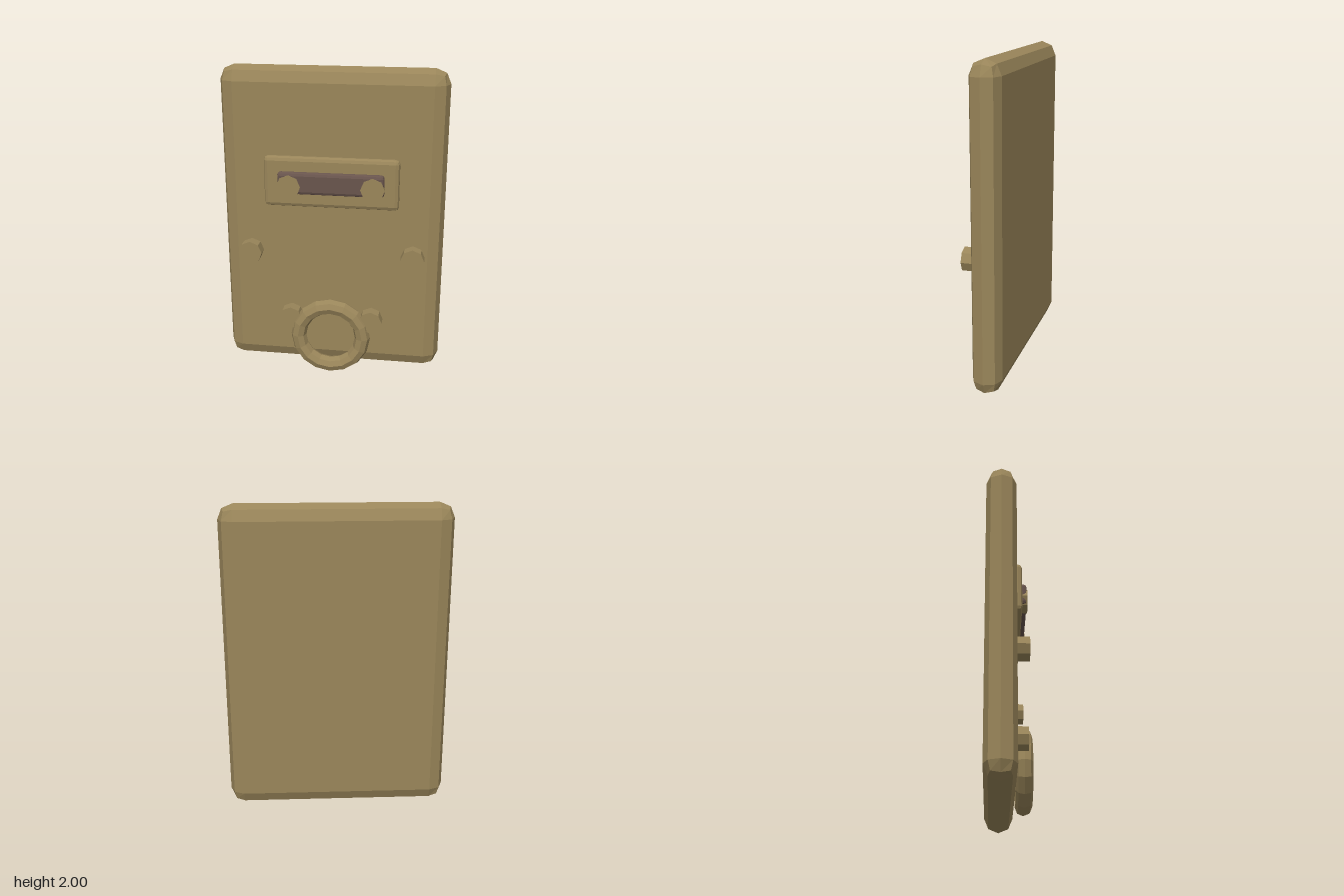
import * as THREE from 'three';
import { RoundedBoxGeometry } from 'three/addons/geometries/RoundedBoxGeometry.js';

export function createModel() {
  const group = new THREE.Group();
  const brass = new THREE.MeshStandardMaterial({ color: 0x9a865a, flatShading: true });
  const dark = new THREE.MeshStandardMaterial({ color: 0x69554d, flatShading: true });

  const add = (name, geometry, material, x, y, z) => {
    const mesh = new THREE.Mesh(geometry, material);
    mesh.name = name;
    mesh.position.set(x, y, z);
    group.add(mesh);
    return mesh;
  };

  // Main slab with a two-facet bevel on every edge
  add('plate', new RoundedBoxGeometry(1.4, 1.965, 0.185, 1, 0.0925), brass, 0, 1.0175, -0.05);

  // Raised surround and the dark bar set on it
  add('slotFrame', new RoundedBoxGeometry(0.84, 0.32, 0.08, 1, 0.025), brass, 0, 1.3, 0.04);
  add('slotBar', new RoundedBoxGeometry(0.66, 0.14, 0.075, 1, 0.02), dark, 0, 1.3, 0.0735);

  // Three mirrored pairs of eight-sided studs
  const stud = new THREE.CylinderGeometry(0.075, 0.075, 0.1, 8).rotateX(Math.PI / 2);
  const pairs = [['upperStud', 0.26, 1.28], ['middleStud', 0.515, 0.83], ['lowerStud', 0.26, 0.385]];
  for (const [name, x, y] of pairs) {
    add(name + 'Left', stud, brass, x, y, 0.065);
    add(name + 'Right', stud, brass, -x, y, 0.065);
  }

  // Pull ring overlapping the lower edge
  add('ring', new THREE.TorusGeometry(0.21, 0.05, 8, 16), brass, 0, 0.265, 0.093);

  return group;
}
